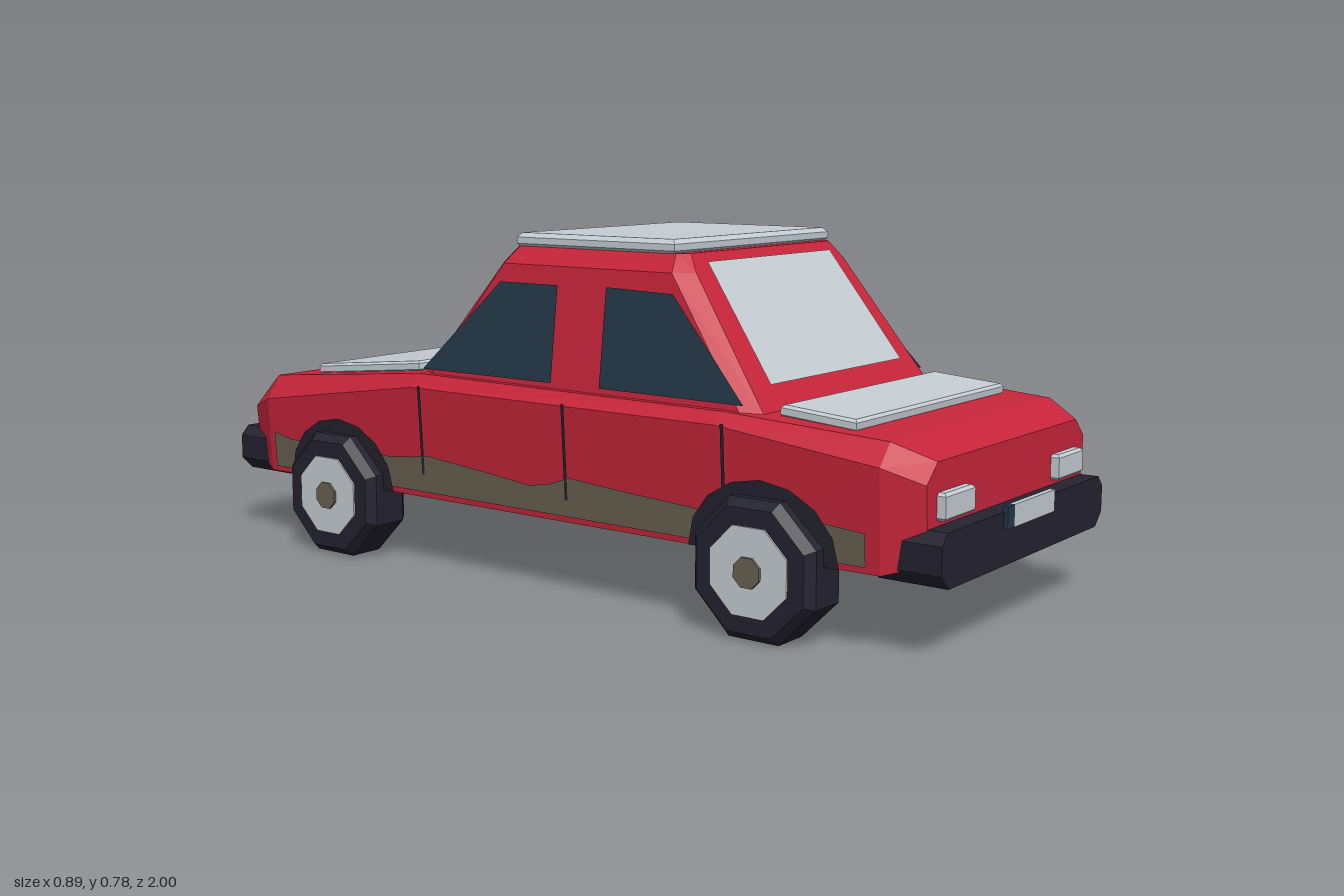
import * as THREE from 'three';

const mat = (name, color, side = THREE.FrontSide) => {
  const m = new THREE.MeshStandardMaterial({ color, flatShading: true, side });
  m.name = name;
  return m;
};

export function createModel() {
  const car = new THREE.Group();
  car.name = 'car';
  const red = mat('red paint', 0xc8253a);
  const silver = mat('pale silver', 0xc6ced4, THREE.DoubleSide);
  const black = mat('black rubber', 0x242330, THREE.DoubleSide);
  const blue = mat('dark blue glass', 0x243848, THREE.DoubleSide);
  const mud = mat('mud brown', 0x6a6152, THREE.DoubleSide);

  const add = (name, geo, material, x = 0, y = 0, z = 0) => {
    const m = new THREE.Mesh(geo, material);
    m.name = name;
    m.position.set(x, y, z);
    car.add(m);
    return m;
  };
  const fromTriangles = (pts) => {
    const g = new THREE.BufferGeometry();
    g.setAttribute('position', new THREE.Float32BufferAttribute(pts.flat(), 3));
    g.computeVertexNormals();
    return g;
  };
  const fan = (ring) => {
    const t = [];
    for (let i = 1; i < ring.length - 1; i++) t.push(ring[0], ring[i], ring[i + 1]);
    return t;
  };
  // Closed skin over rings that run counter-clockwise seen from the first end
  const loft = (rings) => {
    const t = fan(rings[0]);
    for (let i = 0; i < rings.length - 1; i++) {
      const a = rings[i], b = rings[i + 1], n = a.length;
      for (let j = 0; j < n; j++) {
        const k = (j + 1) % n;
        t.push(a[j], b[j], b[k], a[j], b[k], a[k]);
      }
    }
    t.push(...fan([...rings[rings.length - 1]].reverse()));
    return fromTriangles(t);
  };
  // Flat slab with bevelled edges
  const slab = (w, h, d, c) => loft([[h / 2, c], [h / 2 - c, 0], [c - h / 2, 0], [-h / 2, c]].map(([y, i]) => {
    const x = w / 2 - i, z = d / 2 - i;
    return [[x, y, z], [x, y, -z], [-x, y, -z], [-x, y, z]];
  }));

  // Lower body: z, bottom y and half width, shoulder y and half width, deck y and half width
  const sections = [
    [0.95, 0.19, 0.34, 0.345, 0.352, 0.385, 0.31],
    [0.87, 0.165, 0.378, 0.375, 0.388, 0.42, 0.35],
    [0.5, 0.165, 0.385, 0.42, 0.4, 0.445, 0.375],
    [-0.35, 0.165, 0.385, 0.42, 0.4, 0.45, 0.375],
    [-0.86, 0.165, 0.378, 0.345, 0.388, 0.4, 0.35],
    [-0.945, 0.19, 0.34, 0.315, 0.352, 0.355, 0.31],
  ];
  add('body', loft(sections.map(([z, yb, wb, yc, wc, yd, wd]) => [
    [-wb, yb, z], [wb, yb, z], [wc, yc, z], [wd, yd, z], [-wd, yd, z], [-wc, yc, z],
  ])), red);

  // Half width of the body side at a given height and length
  const sideX = (y, z) => {
    let i = 0;
    while (i < sections.length - 2 && z < sections[i + 1][0]) i++;
    const a = sections[i], b = sections[i + 1], t = (a[0] - z) / (a[0] - b[0]);
    const [, yb, wb, yc, wc] = a.map((v, k) => v + (b[k] - v) * t);
    return wb + (wc - wb) * (y - yb) / (yc - yb);
  };

  // Cabin: y, end half width, front z, rear z, side half width, side front z, side rear z
  const cabinRings = [
    [0.748, 0.27, 0.346, -0.126, 0.293, 0.325, -0.105],
    [0.71, 0.29, 0.374, -0.156, 0.326, 0.338, -0.125],
    [0.43, 0.335, 0.58, -0.376, 0.36, 0.54, -0.34],
  ];
  add('cabin', loft(cabinRings.map(([y, w, f, r, s, sf, sr]) => [
    [w, y, f], [s, y, sf], [s, y, sr], [w, y, r], [-w, y, r], [-s, y, sr], [-s, y, sf], [-w, y, f],
  ])), red);
  add('roofPanel', slab(0.6, 0.034, 0.435, 0.01), silver, 0, 0.76, 0.108);

  // Windscreens lying just above the sloped ends of the cabin
  const screen = (name, y0, w0, y1, w1, zAt) => add(name, fromTriangles(fan([
    [-w0, y0, zAt(y0)], [w0, y0, zAt(y0)], [w1, y1, zAt(y1)], [-w1, y1, zAt(y1)],
  ])), silver);
  screen('frontScreen', 0.49, 0.265, 0.73, 0.24, (y) => 0.382 - (y - 0.71) * 0.736);
  screen('rearScreen', 0.465, 0.28, 0.725, 0.25, (y) => -0.164 + (y - 0.71) * 0.786);

  // Lid panels
  add('frontLidPanel', slab(0.63, 0.026, 0.175, 0.006), silver, 0, 0.441, 0.688).rotation.x = 0.08;
  add('rearLidPanel', slab(0.625, 0.026, 0.345, 0.006), silver, 0, 0.437, -0.58).rotation.x = -0.1;

  // Bumper with cut corners
  const bumperShape = new THREE.Shape([
    [-0.335, 0.15], [0.335, 0.15], [0.365, 0.18], [0.365, 0.237],
    [0.343, 0.26], [-0.343, 0.26], [-0.365, 0.237], [-0.365, 0.18],
  ].map(([x, y]) => new THREE.Vector2(x, y)));

  for (const e of [1, -1]) {
    const end = e > 0 ? 'front' : 'rear';
    add(end + 'Bumper', new THREE.ExtrudeGeometry(bumperShape, { depth: 0.15, bevelEnabled: false }),
      black, 0, 0, e > 0 ? 0.842 : -0.992);
    add(end + 'Plate', new THREE.BoxGeometry(0.185, 0.046, 0.012), silver, e * 0.0125, 0.248, e * 0.994);
    add(end + 'PlateBand', new THREE.BoxGeometry(0.03, 0.046, 0.012), blue, e * -0.095, 0.248, e * 0.994);
    const ly = e > 0 ? 0.298 : 0.305;
    for (const s of [1, -1]) {
      const lamp = add(end + 'Lamp', slab(0.12, 0.055, 0.05, 0.006), silver, s * 0.25, ly, e * 0.944);
      lamp.scale.z = e > 0 ? 1 : 0.9;
    }
  }
  add('grille', new THREE.BoxGeometry(0.38, 0.06, 0.009), black, 0, 0.3, -0.947);

  // Octagonal wheel pieces turned about the x axis
  const turned = (profile) => new THREE.LatheGeometry(profile.map(([r, x]) => new THREE.Vector2(r, x)), 8)
    .rotateY(Math.PI / 8).rotateZ(-Math.PI / 2);
  const tyreGeo = turned([[0, -0.062], [0.137, -0.062], [0.155, -0.042], [0.155, 0.042], [0.137, 0.062], [0, 0.062]]);
  const hubGeo = turned([[0, -0.066], [0.098, -0.066], [0.098, 0.066], [0, 0.066]]);
  const capGeo = turned([[0, -0.072], [0.033, -0.072], [0.033, 0.072], [0, 0.072]]);

  const windows = {
    frontSideWindow: [[0.544, 0.458], [0.35, 0.668], [0.174, 0.673], [0.174, 0.46]],
    rearSideWindow: [[0.04, 0.67], [-0.126, 0.67], [-0.345, 0.46], [0.04, 0.46]],
  };
  // Upper edge of the splashed mud as z, y
  const mudEdge = [[0.84, 0.245], [0.72, 0.255], [0.5, 0.24], [0.43, 0.245], [0.25, 0.255], [0.115, 0.265],
    [0.06, 0.245], [0, 0.235], [-0.12, 0.248], [-0.31, 0.265], [-0.35, 0.258], [-0.42, 0.25], [-0.78, 0.252], [-0.84, 0.265]];

  for (const s of [1, -1]) {
    const side = s > 0 ? 'left' : 'right';
    const onBody = (y, z, off) => [s * (sideX(y, z) + off), y, z];

    for (const [name, pts] of Object.entries(windows)) {
      add(name, fromTriangles(fan(pts.map(([z, y]) => [s * (0.367 - 0.1214 * (y - 0.43)), y, z]))), blue);
    }

    const strip = [];
    for (let i = 0; i < mudEdge.length - 1; i++) {
      const [z0, y0] = mudEdge[i], [z1, y1] = mudEdge[i + 1];
      strip.push(...fan([onBody(0.178, z0, 0.003), onBody(0.178, z1, 0.003), onBody(y1, z1, 0.003), onBody(y0, z0, 0.003)]));
    }
    add(side + 'Mud', fromTriangles(strip), mud);

    // Door seams
    for (const [z, y0] of [[0.52, 0.27], [0.107, 0.215], [-0.32, 0.22]]) {
      add('doorSeam', fromTriangles(fan([
        onBody(y0, z + 0.004, 0.005), onBody(y0, z - 0.004, 0.005),
        onBody(0.425, z - 0.004, 0.005), onBody(0.425, z + 0.004, 0.005),
      ])), black);
    }

    for (const z of [0.608, -0.598]) {
      // Wheel arch, a flat-bottomed half disc on the body side
      const arch = [];
      for (let i = 0; i <= 8; i++) {
        const a = Math.PI * i / 8;
        const y = 0.166 + 0.156 * Math.sin(a), za = z + 0.177 * Math.cos(a);
        arch.push(onBody(y, za, 0.007));
      }
      add('wheelArch', fromTriangles(fan(arch)), black);
      add('tyre', tyreGeo, black, s * 0.372, 0.1435, z);
      add('hub', hubGeo, silver, s * 0.372, 0.1435, z);
      add('hubCap', capGeo, mud, s * 0.372, 0.1435, z);
    }
  }
  return car;
}
